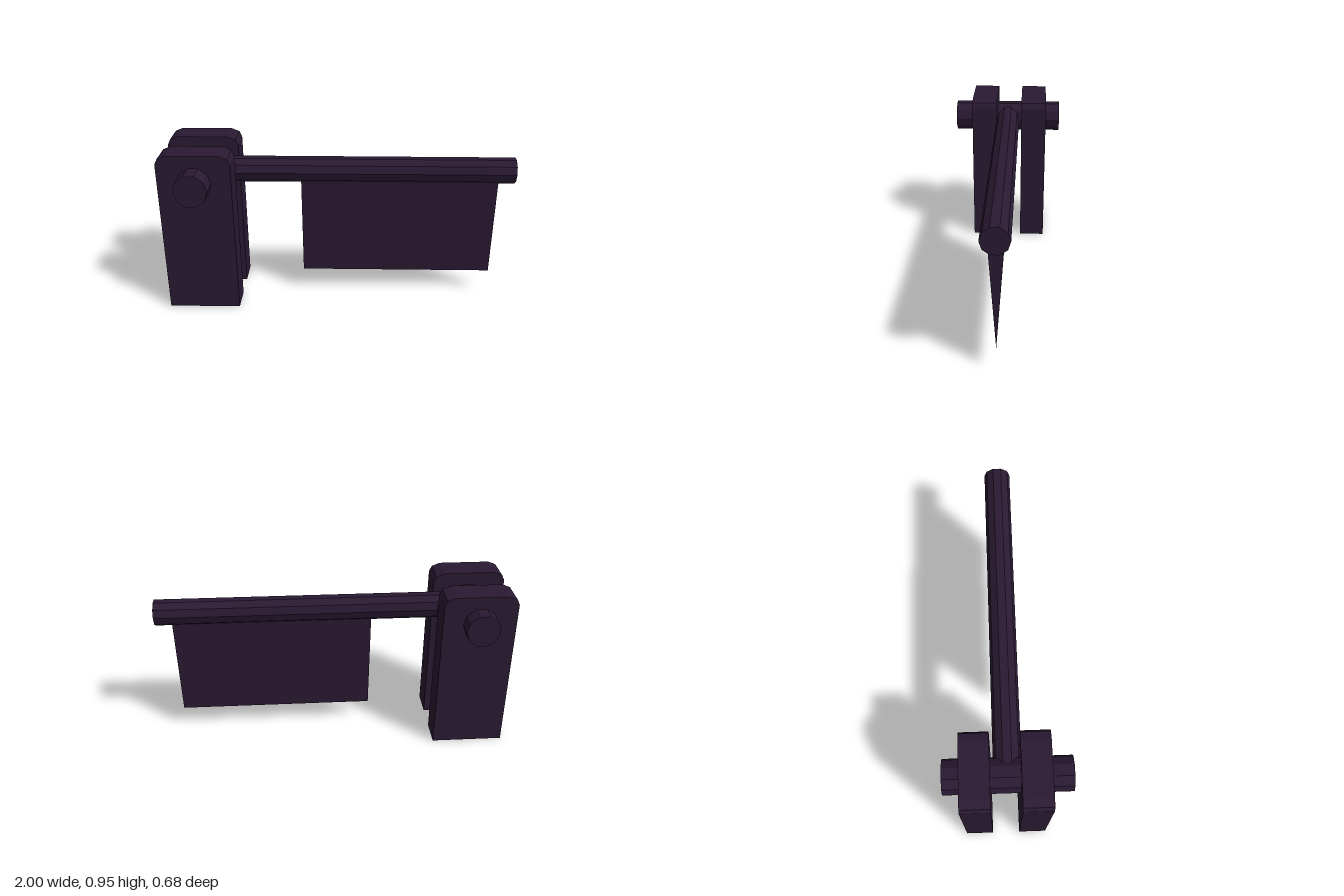
import * as THREE from 'three';

export function createModel() {
  const group = new THREE.Group();
  const material = new THREE.MeshStandardMaterial({ color: 0x2a1a33, flatShading: true });

  function add(name, geometry, x, y, z) {
    const mesh = new THREE.Mesh(geometry, material);
    mesh.name = name;
    mesh.position.set(x, y, z);
    group.add(mesh);
  }

  // Closed outline pushed out along z, from z = 0 to depth
  function slab(points, depth) {
    const shape = new THREE.Shape(points.map(([x, y]) => new THREE.Vector2(x, y)));
    return new THREE.ExtrudeGeometry(shape, { depth, bevelEnabled: false });
  }

  // Two upright posts with chamfered top corners
  const side = [[0.205, 0], [0.205, 0.9], [0.19, 0.932], [0.145, 0.95]];
  const outline = [...side, ...side.map(([x, y]) => [-x, y]).reverse()];
  add('frontPost', slab(outline, 0.157), -0.795, 0, 0.067);
  add('backPost', slab(outline, 0.157), -0.795, 0, -0.248);

  // Ten-sided pin through both posts
  const pin = new THREE.CylinderGeometry(0.094, 0.094, 0.676, 10, 1, false, Math.PI / 2);
  pin.rotateX(Math.PI / 2);
  add('pivotPin', pin, -0.795, 0.79, 0);

  // Ten-sided arm reaching out from the pin
  const arm = new THREE.CylinderGeometry(0.074, 0.074, 1.795, 10);
  arm.rotateZ(Math.PI / 2);
  add('arm', arm, 0.1025, 0.792, -0.001);

  // Wedge-shaped blade hanging from the arm, its edge pointing down
  const blade = slab([[-0.045, 0.79], [0, 0.134], [0.045, 0.79]], 1.125);
  blade.rotateY(Math.PI / 2);
  add('blade', blade, -0.22, 0, 0);

  return group;
}
